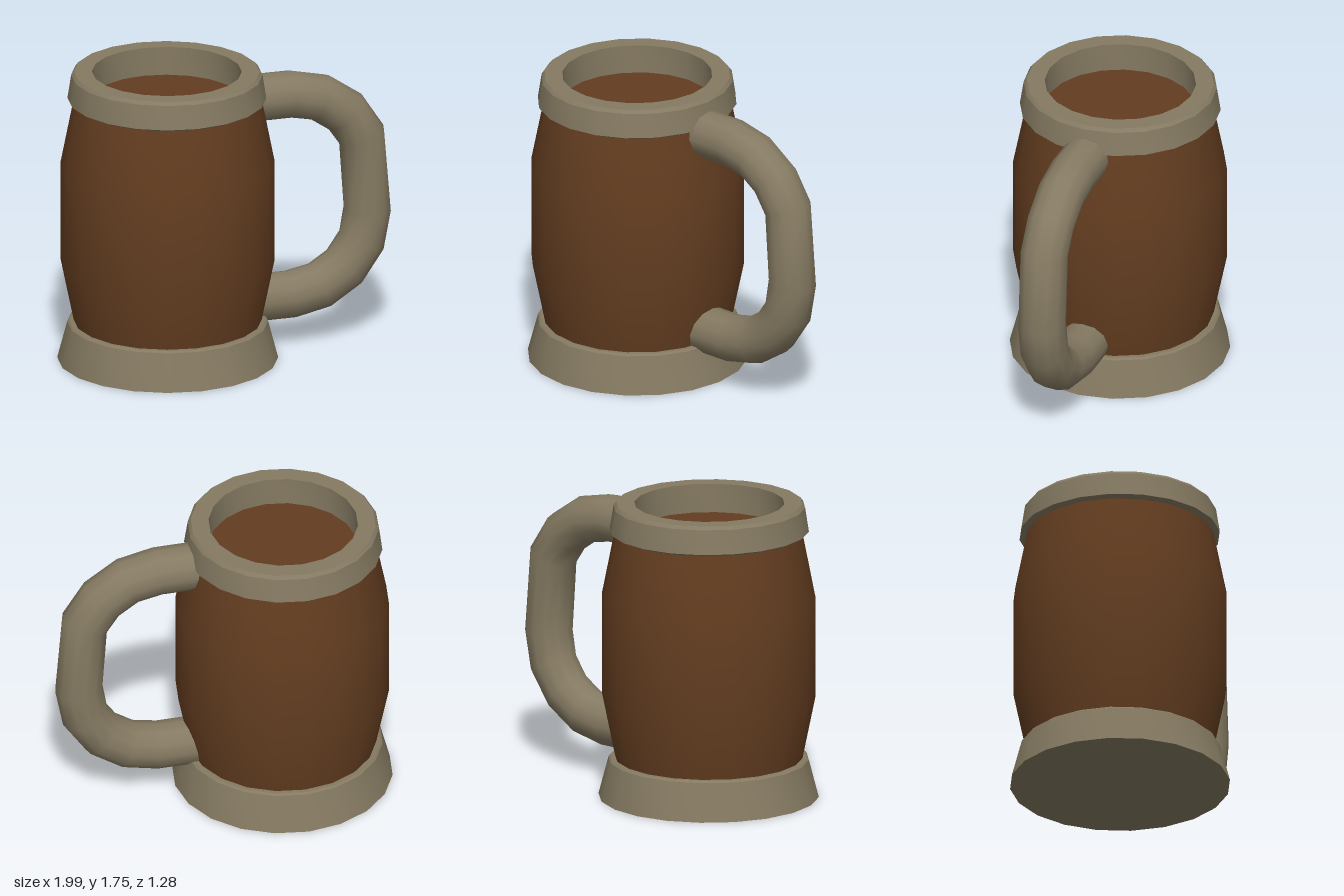
import * as THREE from 'three';
import { toCreasedNormals } from 'three/addons/utils/BufferGeometryUtils.js';

const SIDES = 20;
const CENTRE_X = -0.36;

function turned(name, profile, material) {
  const points = profile.map(([r, y]) => new THREE.Vector2(r, y));
  const geometry = toCreasedNormals(new THREE.LatheGeometry(points, SIDES), 0.5);
  const mesh = new THREE.Mesh(geometry, material);
  mesh.name = name;
  mesh.position.x = CENTRE_X;
  return mesh;
}

// Polyline swept with mitred rings, one ring per path point
class BentPath extends THREE.Curve {
  constructor(points) {
    super();
    this.points = points.map(([x, y]) => new THREE.Vector3(x, y, 0));
  }
  index(u) {
    return Math.round(u * (this.points.length - 1));
  }
  getPointAt(u) {
    return this.points[this.index(u)].clone();
  }
  getTangentAt(u) {
    const p = this.points, i = this.index(u), tangent = new THREE.Vector3();
    if (i > 0) tangent.add(p[i].clone().sub(p[i - 1]).normalize());
    if (i < p.length - 1) tangent.add(p[i + 1].clone().sub(p[i]).normalize());
    return tangent.normalize();
  }
}

export function createModel() {
  const group = new THREE.Group();
  group.name = 'tankard';
  const pewter = new THREE.MeshStandardMaterial({ color: 0x857a62 });
  const wood = new THREE.MeshStandardMaterial({ color: 0x633d20 });

  // Flared foot with a small bevelled top edge
  group.add(turned('base', [
    [0, 0], [0.64, 0], [0.582, 0.222], [0.57, 0.232], [0, 0.232],
  ], pewter));

  // Barrel body, its flat top is the floor seen inside the rim
  group.add(turned('barrelBody', [
    [0, 0.2], [0.54, 0.2], [0.545, 0.232], [0.62, 0.6], [0.62, 1.2], [0.545, 1.58], [0, 1.58],
  ], wood));

  // Hollow rim ring
  const rim = turned('rim', [
    [0.44, 1.572], [0.56, 1.575], [0.584, 1.588], [0.562, 1.73], [0.545, 1.75], [0.44, 1.75], [0.44, 1.572],
  ], pewter);
  rim.position.x -= 0.005;
  rim.scale.x = 0.985;
  group.add(rim);

  // Handle, both ends sunk into the body
  const path = new BentPath([
    [0.13, 1.533], [0.385, 1.533], [0.565, 1.495], [0.72, 1.39], [0.82, 1.24],
    [0.855, 0.785], [0.82, 0.595], [0.715, 0.443], [0.565, 0.345], [0.388, 0.308], [0.13, 0.308],
  ]);
  const handle = new THREE.Mesh(
    new THREE.TubeGeometry(path, path.points.length - 1, 0.14, 12, false), pewter);
  handle.name = 'handle';
  group.add(handle);

  return group;
}
